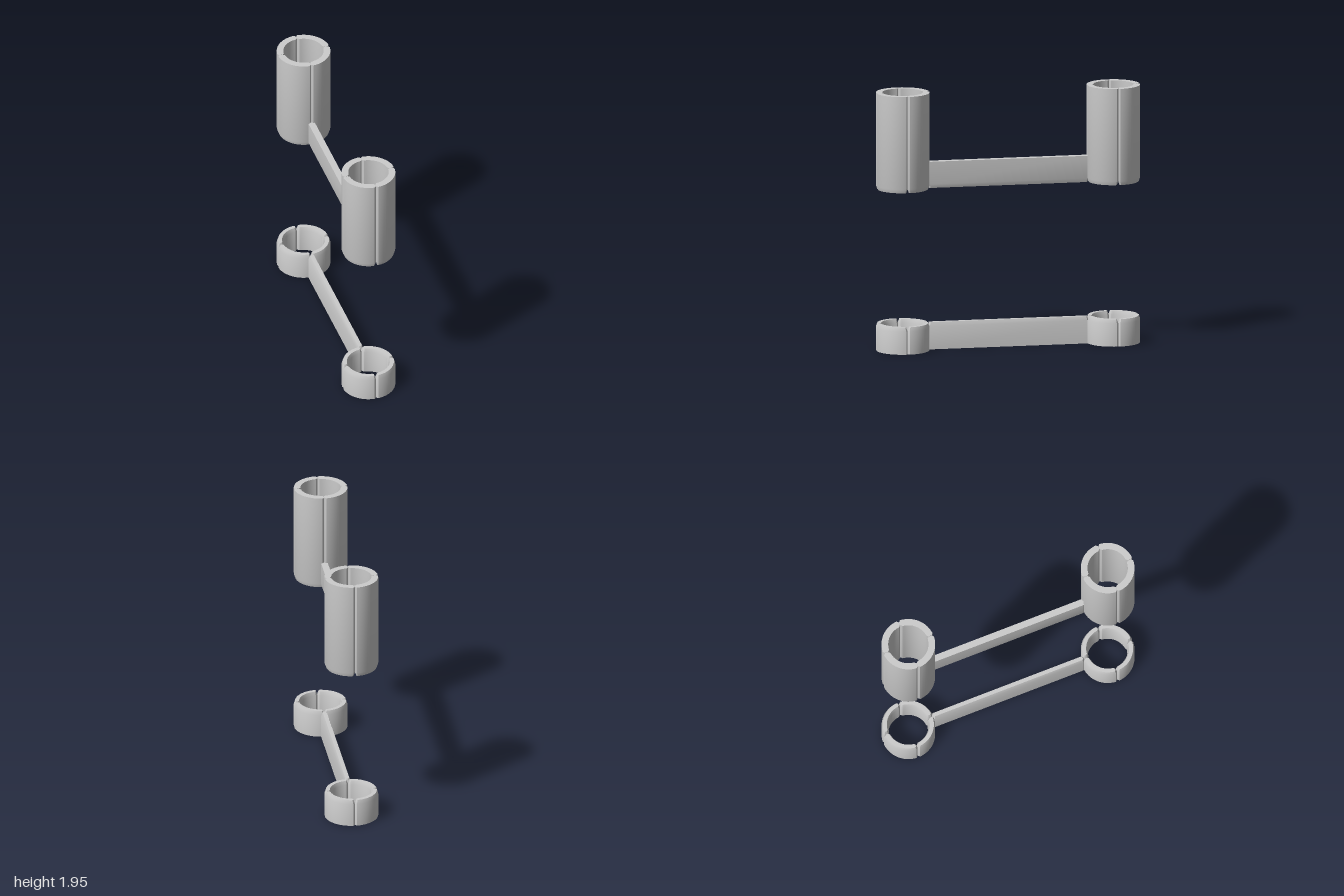
import * as THREE from 'three';
import { toCreasedNormals } from 'three/addons/utils/BufferGeometryUtils.js';

const material = new THREE.MeshStandardMaterial({ color: 0xcccccc });
const CUT = 0.013;    // bevel on the vertical edges
const INSET = 0.01;   // how far the chamfered rim draws in
const RISE = 0.03;    // height of the chamfered rim

// Plan of a quarter ring wall, drawn in by d, counter-clockwise from above
function quarterOutline(d) {
  const outer = 0.2 - d, inner = 0.15 + d, e = d + 0.001, cut = d ? 0.008 : CUT, steps = 14;
  const pts = [];
  const arc = (r, from, to) => {
    for (let i = 0; i <= steps; i++) {
      const a = from + (to - from) * i / steps;
      pts.push(new THREE.Vector2(r * Math.cos(a), r * Math.sin(a)));
    }
  };
  const ao = Math.asin((e + cut) / outer), ai = Math.asin((e + cut) / inner);
  pts.push(new THREE.Vector2(inner + cut, e), new THREE.Vector2(outer - cut, e));
  arc(outer, ao, Math.PI / 2 - ao);
  pts.push(new THREE.Vector2(e, outer - cut), new THREE.Vector2(e, inner + cut));
  arc(inner, Math.PI / 2 - ai, ai);
  return pts;
}

// Plan of the connecting bar with bevelled corners
function barOutline(d) {
  const w = 0.025 - d, l = 0.61 - d, c = d ? 0.008 : CUT;
  return [[w, c - l], [w, l - c], [w - c, l], [c - w, l],
    [-w, l - c], [-w, c - l], [c - w, -l], [w - c, -l]].map(p => new THREE.Vector2(...p));
}

// Solid lofted through plan outlines stacked in y
function loft(layers) {
  const pos = [];
  const put = (layer, i) => pos.push(layer.pts[i].x, layer.y, -layer.pts[i].y);
  const n = layers[0].pts.length;
  for (let k = 0; k < layers.length - 1; k++) {
    const a = layers[k], b = layers[k + 1];
    for (let i = 0; i < n; i++) {
      const j = (i + 1) % n;
      put(a, i); put(a, j); put(b, j);
      put(a, i); put(b, j); put(b, i);
    }
  }
  const bottom = layers[0], top = layers[layers.length - 1];
  for (const [i, j, k] of THREE.ShapeUtils.triangulateShape(top.pts, [])) {
    put(top, i); put(top, j); put(top, k);
  }
  for (const [i, j, k] of THREE.ShapeUtils.triangulateShape(bottom.pts, [])) {
    put(bottom, i); put(bottom, k); put(bottom, j);
  }
  const geo = new THREE.BufferGeometry();
  geo.setAttribute('position', new THREE.Float32BufferAttribute(pos, 3));
  return toCreasedNormals(geo, 0.4);
}

// Prism with a chamfered rim at its lower or upper end
function chamferedPrism(outline, y0, y1, chamferTop) {
  const full = outline(0), small = outline(INSET);
  return loft(chamferTop
    ? [{ y: y0, pts: full }, { y: y1 - RISE, pts: full }, { y: y1, pts: small }]
    : [{ y: y0, pts: small }, { y: y0 + RISE, pts: full }, { y: y1, pts: full }]);
}

// Two split rings joined by a bar
function makeLink(name, y0, ringTop, barTop, chamferTop) {
  const link = new THREE.Group();
  link.name = name;
  const quarter = chamferedPrism(quarterOutline, y0, ringTop, chamferTop);
  for (const side of [1, -1]) {
    const ring = new THREE.Group();
    ring.name = side > 0 ? 'frontSleeve' : 'backSleeve';
    ring.position.z = 0.8 * side;
    for (let k = 0; k < 4; k++) {
      const wall = new THREE.Mesh(quarter, material);
      wall.name = 'sleeveQuarter';
      wall.rotation.y = k * Math.PI / 2;
      ring.add(wall);
    }
    link.add(ring);
  }
  const bar = new THREE.Mesh(chamferedPrism(barOutline, y0, barTop, chamferTop), material);
  bar.name = 'connectingBar';
  link.add(bar);
  return link;
}

export function createModel() {
  const model = new THREE.Group();
  model.name = 'splitSleeveConnector';
  model.add(makeLink('upperLink', 1.22, 1.95, 1.42, false));
  model.add(makeLink('lowerLink', 0, 0.205, 0.205, true));
  return model;
}
